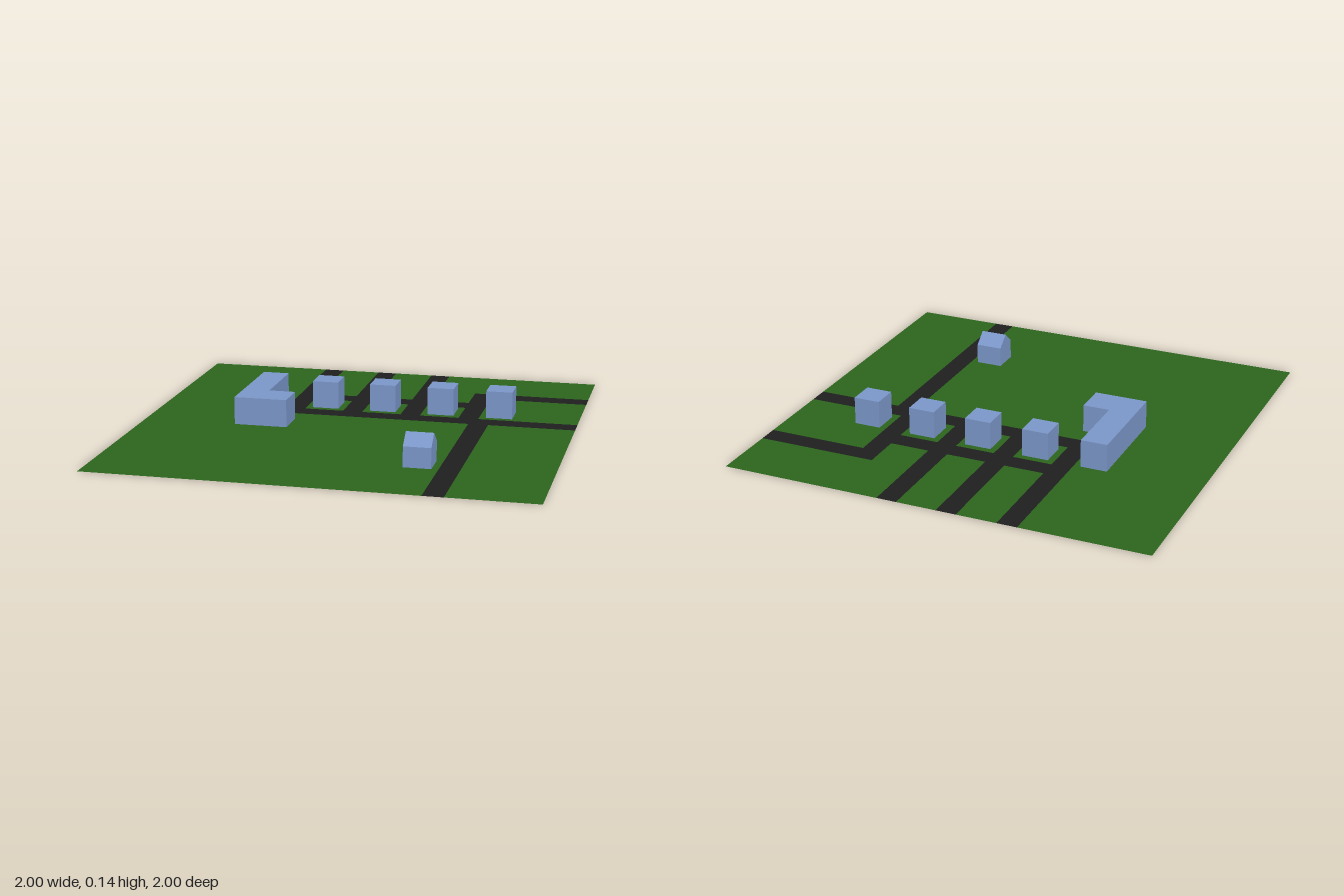
import * as THREE from 'three';

// Plan coordinates are in cells of 1/32 unit; rectangles are [x0, z0, x1, z1].
const U = 1 / 32;
const material = (color) => new THREE.MeshStandardMaterial({ color, side: THREE.DoubleSide, flatShading: true });

const roads = [
  [-13, -32, -10, -4], [-4, -32, -1, -4], [5, -32, 8, -4], // side streets to the back
  [14, -22, 17, -4], [14, -22, 32, -19],                   // bent street
  [-13, -16, 14, -13], [-13, -7, 32, -4],                  // cross streets
  [16, -4, 19, 32],                                        // street to the front
];
const blocks = [-9, 0, 9, 18].map((x) => [x, -12, x + 4, -8]);
const house = [11, 16, 15, 20];
const wings = [[-18, -12, -14, -1], [-18, -1, -10, 4]];
const footprints = [...blocks, house, ...wings];

const covers = (rects, x, z) => rects.some(([a, b, c, d]) => x > a && x < c && z > b && z < d);

// Flat surface made of the plan's cells that pass a test
function flatSurface(test) {
  const rects = [...roads, ...footprints, [-32, -32, 32, 32]];
  const edges = (i) => [...new Set(rects.flatMap((r) => [r[i], r[i + 2]]))].sort((a, b) => a - b);
  const xs = edges(0), zs = edges(1), pos = [];
  for (let i = 0; i < xs.length - 1; i++) {
    for (let j = 0; j < zs.length - 1; j++) {
      const [a, c, b, d] = [xs[i], xs[i + 1], zs[j], zs[j + 1]];
      if (!test((a + c) / 2, (b + d) / 2)) continue;
      for (const [x, z] of [[a, b], [a, d], [c, d], [a, b], [c, d], [c, b]]) pos.push(x * U, 0, z * U);
    }
  }
  const geo = new THREE.BufferGeometry();
  geo.setAttribute('position', new THREE.Float32BufferAttribute(pos, 3));
  geo.computeVertexNormals();
  return geo;
}

const extrude = (points, depth) => new THREE.ExtrudeGeometry(
  new THREE.Shape(points.map(([x, y]) => new THREE.Vector2(x, y))), { depth, bevelEnabled: false });

// Removes the faces looking down, leaving a hollow shell
function openBelow(source) {
  const p = source.attributes.position, n = source.attributes.normal, pos = [];
  for (let i = 0; i < p.count; i++) {
    if (n.getY(i) > -0.5) pos.push(p.getX(i), p.getY(i), p.getZ(i));
  }
  const geo = new THREE.BufferGeometry();
  geo.setAttribute('position', new THREE.Float32BufferAttribute(pos, 3));
  geo.computeVertexNormals();
  return geo;
}

// Flat-roofed building from a plan outline of [x, z] corners
const flatRoofed = (corners, height) => openBelow(
  extrude(corners.map(([x, z]) => [x * U, -z * U]), height).rotateX(-Math.PI / 2));

export function createModel() {
  const model = new THREE.Group();
  const wall = material(0x7a96c8);
  const add = (name, geo, mat) => {
    const mesh = new THREE.Mesh(geo, mat);
    mesh.name = name;
    model.add(mesh);
  };

  // Ground, open under the buildings
  const built = (x, z) => covers(footprints, x, z);
  add('grass', flatSurface((x, z) => !built(x, z) && !covers(roads, x, z)), material(0x2b641c));
  add('roads', flatSurface((x, z) => covers(roads, x, z)), material(0x1e1e1e));

  // Row of four blocks
  blocks.forEach(([a, b, c, d], i) =>
    add(`block${i + 1}`, flatRoofed([[a, b], [a, d], [c, d], [c, b]], 0.13), wall));

  // L-shaped building
  add('cornerBuilding', flatRoofed(
    [[-18, -12], [-18, 4], [-10, 4], [-10, -1], [-14, -1], [-14, -12]], 0.13), wall);

  // House with a gabled roof, its ridge along x
  const [x0, z0, x1, z1] = house.map((v) => v * U);
  const eaves = 0.094, ridge = 0.145;
  const gable = [[-z1, 0], [-z0, 0], [-z0, eaves], [-(z0 + z1) / 2, ridge], [-z1, eaves]];
  add('gabledHouse', openBelow(
    extrude(gable, x1 - x0).rotateY(Math.PI / 2).translate(x0, 0, 0)), wall);

  return model;
}
